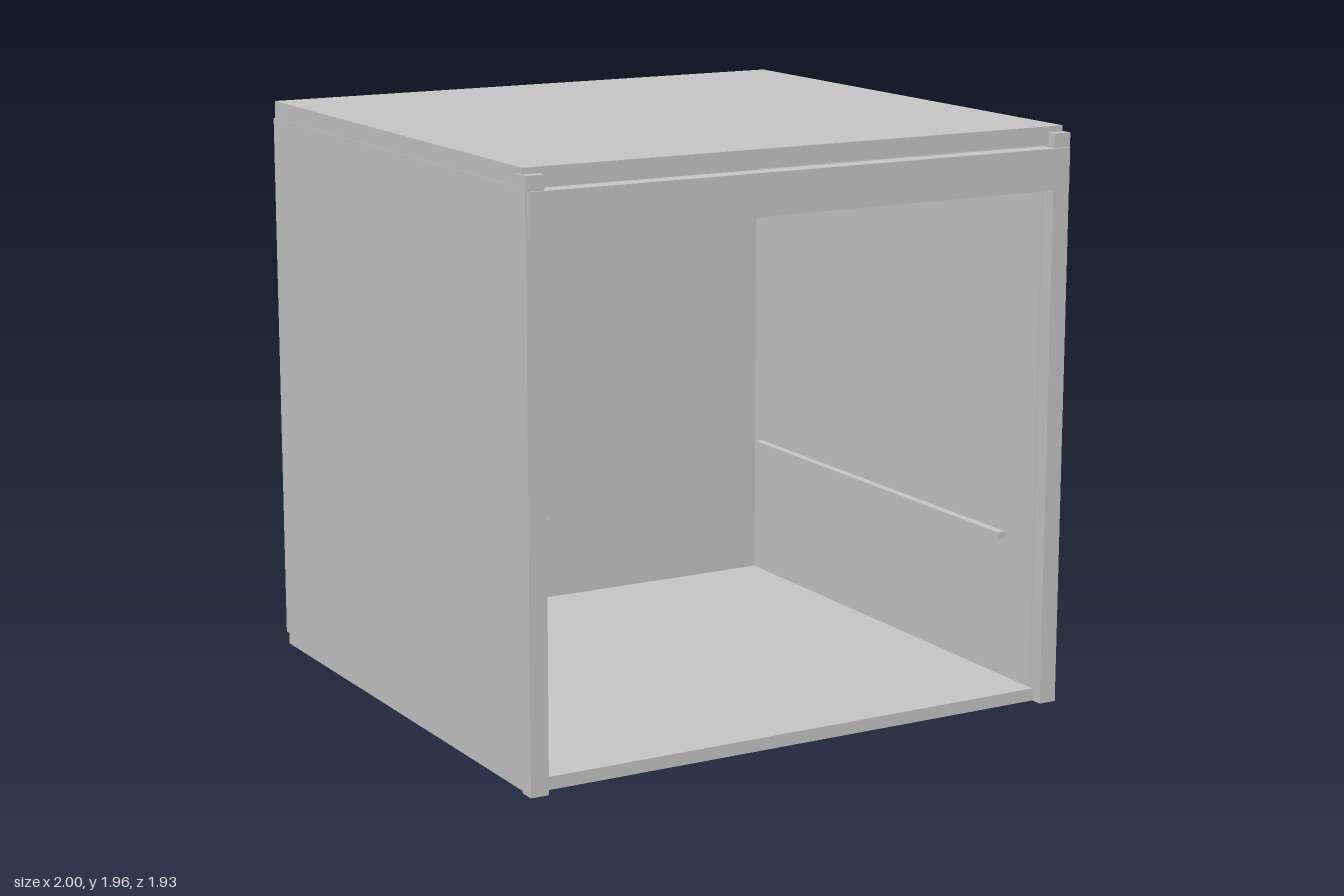
import * as THREE from 'three';

export function createModel() {
  const model = new THREE.Group();
  model.name = 'cabinet';
  const grey = new THREE.MeshStandardMaterial({ color: 0xc8c8c8 });
  grey.name = 'light grey';

  // Box given by its extents along each axis
  function box(name, [x0, x1], [y0, y1], [z0, z1]) {
    const mesh = new THREE.Mesh(new THREE.BoxGeometry(x1 - x0, y1 - y0, z1 - z0), grey);
    mesh.position.set((x0 + x1) / 2, (y0 + y1) / 2, (z0 + z1) / 2);
    mesh.name = name;
    model.add(mesh);
  }

  // Floor, lid and back
  box('bottomPanel', [-0.99, 0.99], [0, 0.043], [-0.955, 0.915]);
  box('topPanel', [-0.993, 0.993], [1.9, 1.96], [-0.955, 0.923]);
  box('backPanel', [-0.935, 0.935], [0.043, 1.9], [-0.965, -0.9]);

  // Mirrored side walls, front posts and shelf rails
  for (const [side, s] of [['left', 1], ['right', -1]]) {
    const span = (a, b) => (s > 0 ? [a, b] : [-b, -a]);
    box(side + 'Wall', span(0.935, 0.995), [0.043, 1.9], [-0.965, 0.9]);
    box(side + 'Post', span(0.937, 1), [0, 1.94], [0.9, 0.957]);
    box(side + 'Rail', span(0.905, 0.935), [0.53, 0.553], [-0.85, 0.74]);
  }

  // Crossbar over the opening
  box('header', [-0.995, 0.995], [1.755, 1.892], [0.9, 0.965]);

  // Latch block inside the right wall
  box('latchBlock', [-0.935, -0.885], [0.65, 0.86], [0.77, 0.87]);

  return model;
}
